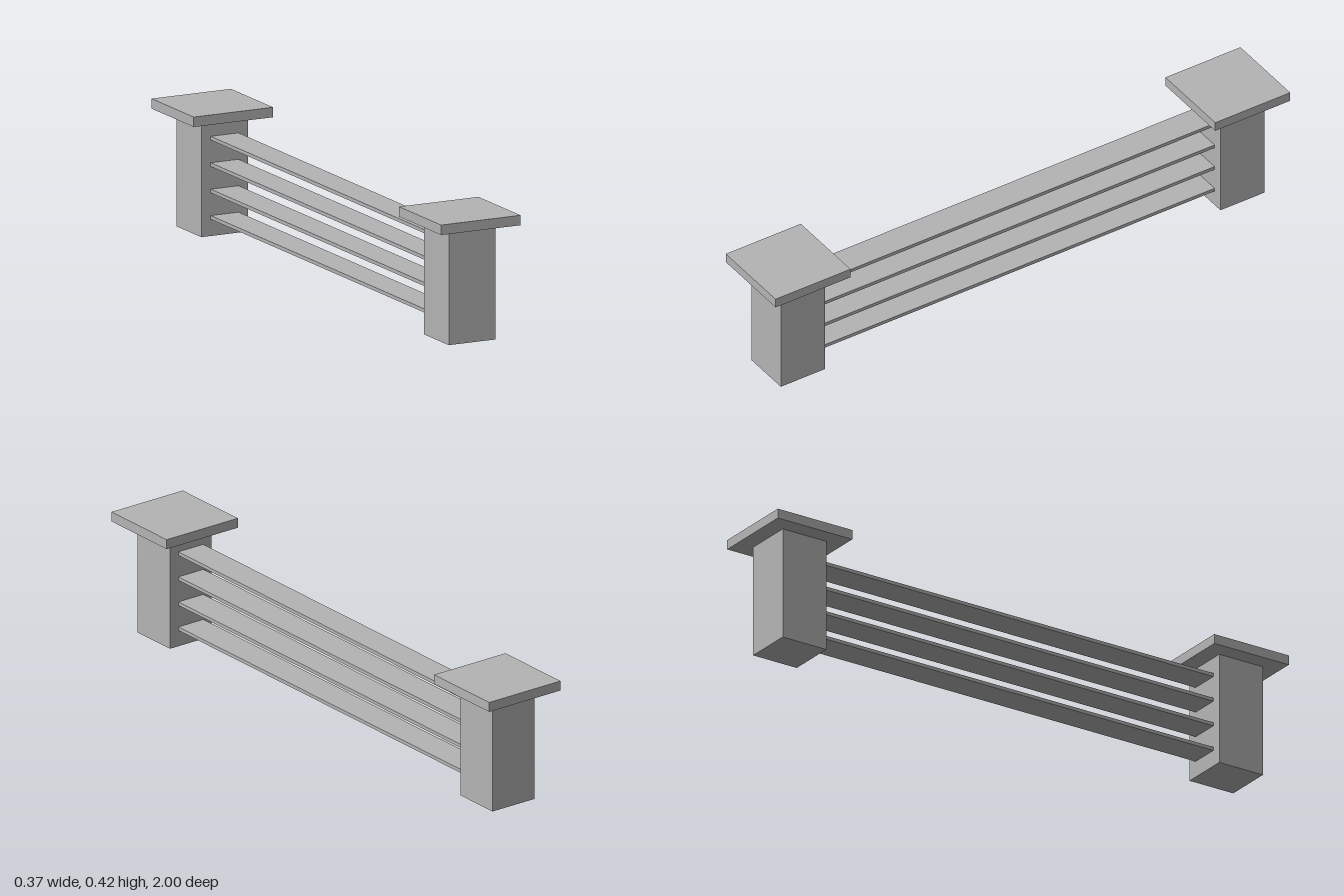
import * as THREE from 'three';

export function createModel() {
  const model = new THREE.Group();
  model.name = 'railFence';
  const stone = new THREE.MeshStandardMaterial({ color: 0xb4b4b4 });
  stone.name = 'plain grey';

  // the whole fence stands slightly askew
  const fence = new THREE.Group();
  fence.name = 'fence';
  fence.rotation.y = -0.0415;
  model.add(fence);

  const addBox = (name, w, h, d, y, z) => {
    const mesh = new THREE.Mesh(new THREE.BoxGeometry(w, h, d), stone);
    mesh.name = name;
    mesh.position.set(0, y, z);
    fence.add(mesh);
  };

  const postZ = 0.85, postSize = 0.17, postHeight = 0.384;
  const capSize = 0.29, capHeight = 0.033;

  // square posts with overhanging caps
  for (const [end, side] of [['front', 1], ['back', -1]]) {
    addBox(end + 'Post', postSize, postHeight, postSize, postHeight / 2, side * postZ);
    addBox(end + 'Cap', capSize, capHeight, capSize, postHeight + capHeight / 2, side * postZ);
  }

  // four flat rails between the posts
  for (let i = 0; i < 4; i++) {
    addBox('rail' + (i + 1), 0.102, 0.012, 2 * postZ - postSize, 0.0615 + i * 0.0875, 0);
  }
  return model;
}
